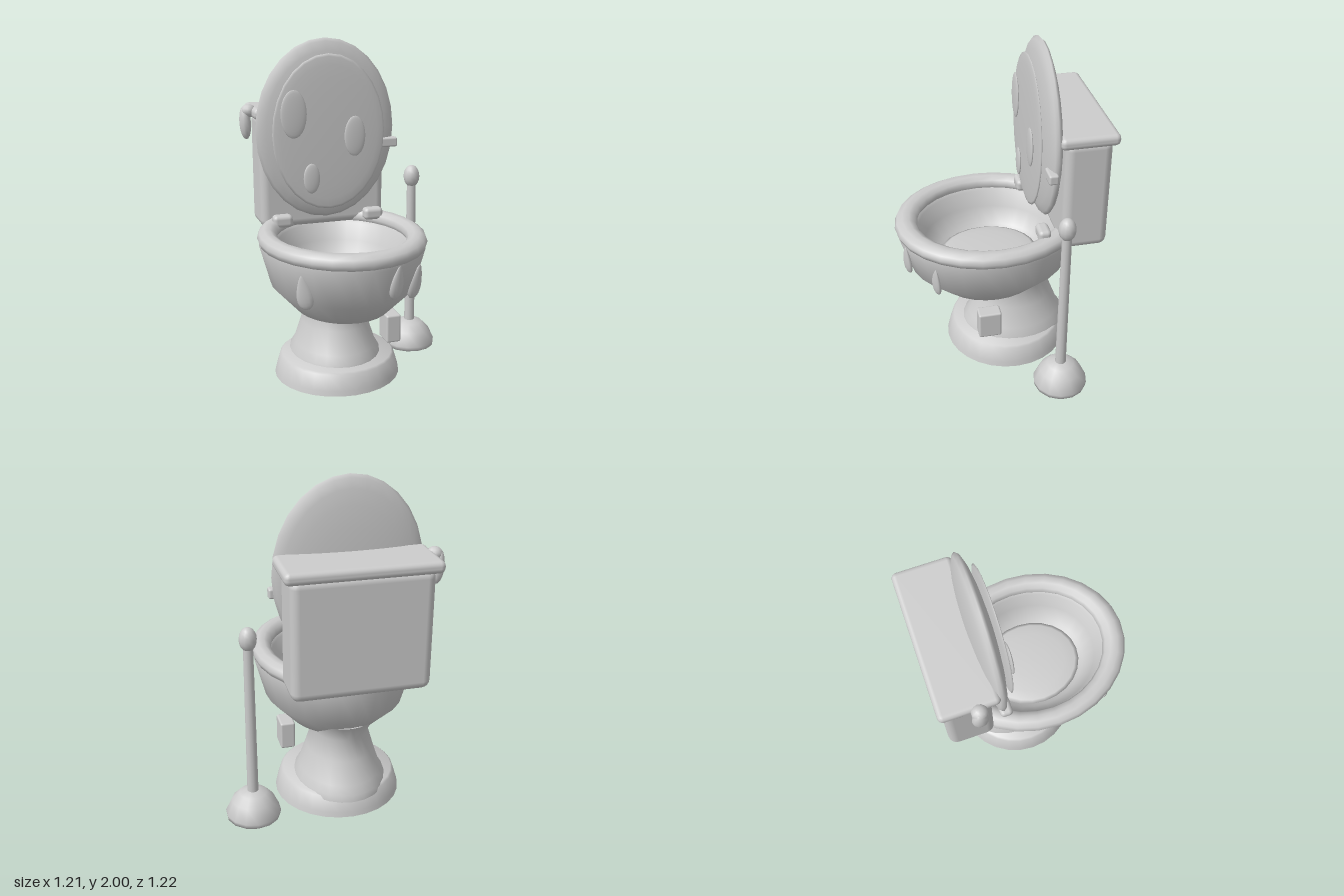
import * as THREE from 'three';
import { toCreasedNormals } from 'three/addons/utils/BufferGeometryUtils.js';
import { RoundedBoxGeometry } from 'three/addons/geometries/RoundedBoxGeometry.js';

const CX = -0.12; // centre line of the toilet
const porcelain = new THREE.MeshStandardMaterial({ color: 0xcccccc });
porcelain.name = 'porcelain';

export function createModel() {
  const model = new THREE.Group();
  model.name = 'toilet';

  const add = (name, geometry, x, y, z) => {
    const mesh = new THREE.Mesh(geometry, porcelain);
    mesh.name = name;
    mesh.position.set(x, y, z);
    model.add(mesh);
    return mesh;
  };
  // turned solid from [radius, height] pairs, creased only at hard corners
  const turned = (points, sides, zScale = 1) => {
    const g = new THREE.LatheGeometry(points.map(([r, y]) => new THREE.Vector2(r, y)), sides);
    g.scale(1, 1, zScale);
    return toCreasedNormals(g, 1.2);
  };
  const box = (w, h, d, r, seg = 2) => new RoundedBoxGeometry(w, h, d, seg, r);
  const ellipsoid = (rx, ry, rz, ws = 16, hs = 12) => new THREE.SphereGeometry(1, ws, hs).scale(rx, ry, rz);
  // flattened oval facing the front
  const oval = (rx, ry, rz) => new THREE.SphereGeometry(1, 28, 12).rotateX(Math.PI / 2).scale(rx, ry, rz);

  // foot and flared pedestal
  add('foot', turned([[0, 0], [0.38, 0], [0.374, 0.03], [0.347, 0.12], [0.335, 0.13], [0, 0.13]], 28), CX, 0, -0.07);
  add('pedestal', turned([[0, 0.1], [0.275, 0.1], [0.27, 0.14], [0.243, 0.185], [0.2, 0.32],
    [0.165, 0.44], [0.215, 0.55], [0, 0.56]], 24, 1.2), CX, 0, -0.12);

  // bowl with hollow inside, rim and water
  add('bowl', turned([[0, 0.43], [0.19, 0.435], [0.275, 0.468], [0.415, 0.62], [0.475, 0.84], [0.47, 0.88],
    [0.4, 0.89], [0.365, 0.85], [0.335, 0.75], [0.28, 0.65], [0.2, 0.6], [0, 0.59]], 28, 1.165), CX, 0, 0.04);
  const rim = new THREE.TorusGeometry(0.427, 0.058, 10, 28).rotateX(Math.PI / 2).scale(1, 0.87, 1.165);
  add('rim', rim, CX, 0.885, 0.04);
  add('water', ellipsoid(0.26, 0.025, 0.3, 24, 8), CX, 0.64, 0.04);

  // tank and its cover
  add('tank', box(0.78, 0.69, 0.27, 0.05), CX, 1.205, -0.45);
  add('tankCover', box(0.85, 0.07, 0.335, 0.03), CX, 1.565, -0.4425);

  // raised lid with inner panel and spots
  add('lid', oval(0.425, 0.535, 0.068), CX, 1.465, -0.265);
  add('lidPanel', oval(0.343, 0.46, 0.018), CX, 1.455, -0.19);
  for (const [x, y, rx, ry] of [[-0.338, 1.575, 0.078, 0.14], [0.033, 1.43, 0.065, 0.12], [-0.235, 1.19, 0.05, 0.09]]) {
    add('lidSpot', oval(rx, ry, 0.012), x, y, -0.17);
  }
  add('lidCatch', box(0.11, 0.058, 0.055, 0.012), 0.265, 1.37, -0.238);

  // seat hinges, either side of the centre line
  for (const side of [-1, 1]) {
    add('hinge', box(0.12, 0.075, 0.075, 0.025), CX + side * 0.285, 0.932, -0.228);
  }

  // flush lever on the side of the tank
  add('leverPivot', ellipsoid(0.045, 0.04, 0.045, 10, 8), -0.555, 1.575, -0.4);
  const lever = add('lever', ellipsoid(0.035, 0.1, 0.045, 12, 10), -0.575, 1.505, -0.405);
  lever.rotation.z = 0.05;

  // teardrops running down the bowl
  for (const [x, y, z, tilt, h] of [[-0.445, 0.7, 0.4, 0.18, 0.102], [0.03, 0.757, 0.555, -0.15, 0.098], [0.197, 0.697, 0.41, -0.25, 0.102]]) {
    const g = new THREE.SphereGeometry(1, 12, 12);
    const p = g.attributes.position;
    for (let i = 0; i < p.count; i++) {
      const taper = 1 - 0.45 * p.getY(i);
      p.setX(i, p.getX(i) * taper);
      p.setZ(i, p.getZ(i) * taper);
    }
    g.scale(0.042, h, 0.016);
    g.computeVertexNormals();
    const drop = add('drip', g, x, y, z);
    drop.rotation.set(0.12, Math.sign(x + 0.12) * 0.35, tilt);
  }

  // small block beside the pedestal
  add('sideBlock', box(0.09, 0.172, 0.14, 0.012), 0.165, 0.315, 0.095);

  // plunger: hollow cup, stick and knob
  add('plungerCup', turned([[0, 0.09], [0.07, 0.07], [0.11, 0.01], [0.135, 0], [0.158, 0.008], [0.162, 0.035], [0.125, 0.115],
    [0.08, 0.16], [0.03, 0.175], [0, 0.175]], 14), 0.445, 0, -0.285);
  add('plungerStick', new THREE.CylinderGeometry(0.028, 0.033, 0.95, 12), 0.445, 0.62, -0.285);
  add('plungerKnob', ellipsoid(0.05, 0.07, 0.05, 12, 10), 0.445, 1.133, -0.285);

  return model;
}
